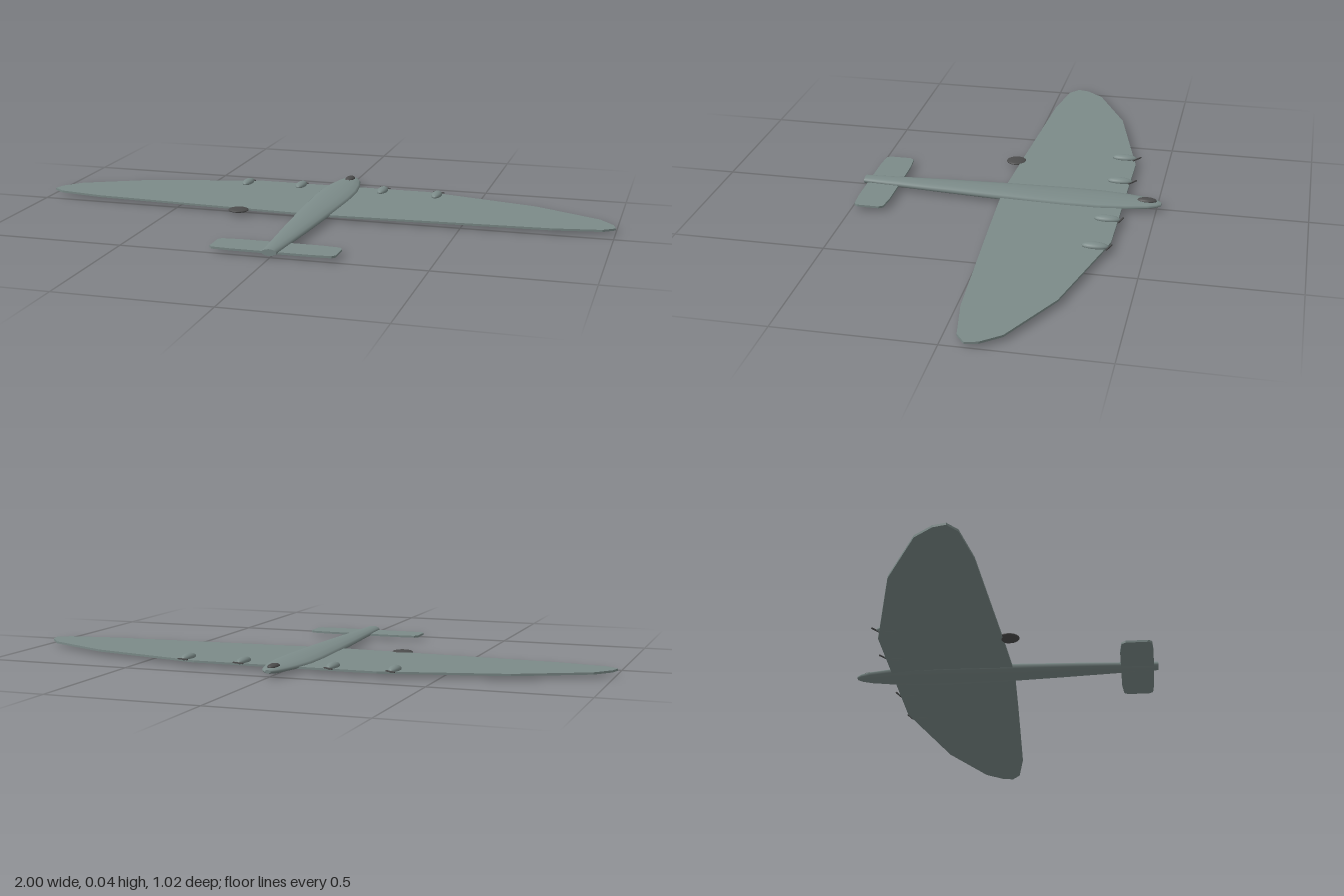
import * as THREE from 'three';

const paint = (name, color) => {
  const m = new THREE.MeshStandardMaterial({ color });
  m.name = name;
  return m;
};

export function createModel() {
  const grey = paint('greyGreen', 0x7b8a88);
  const dark = paint('darkGrey', 0x4c4c4c);
  const group = new THREE.Group();

  const add = (name, geometry, material, x = 0, y = 0, z = 0) => {
    const mesh = new THREE.Mesh(geometry, material);
    mesh.name = name;
    mesh.position.set(x, y, z);
    group.add(mesh);
    return mesh;
  };

  // Flat plate from the outline of its left half, mirrored across x = 0
  const plate = (half, thickness) => {
    const mirrored = half.filter(p => p[0] > 0).reverse().map(([x, z]) => [-x, z]);
    const shape = new THREE.Shape([...half, ...mirrored].map(([x, z]) => new THREE.Vector2(x, z)));
    return new THREE.ExtrudeGeometry(shape, { depth: thickness, bevelEnabled: false }).rotateX(Math.PI / 2);
  };

  const ellipsoid = (rx, ry, rz) => new THREE.SphereGeometry(1, 20, 12).scale(rx, ry, rz);

  // Fuselage: flattened oval sections [z, half width, bottom, top]
  const sections = [
    [-0.515, 0.010, 0.013, 0.024], [-0.50, 0.024, 0.010, 0.028],
    [-0.47, 0.038, 0.008, 0.030], [-0.40, 0.055, 0.006, 0.031],
    [-0.31, 0.067, 0.003, 0.032], [-0.20, 0.068, 0.001, 0.033],
    [0.00, 0.059, 0.000, 0.034], [0.20, 0.047, 0.003, 0.033],
    [0.38, 0.034, 0.006, 0.031], [0.51, 0.025, 0.008, 0.030],
  ];
  const N = 12, pos = [], idx = [];
  for (const [z, w, lo, hi] of sections) {
    for (let i = 0; i < N; i++) {
      const a = (i / N) * Math.PI * 2;
      pos.push(w * Math.cos(a), (lo + hi) / 2 + (hi - lo) / 2 * Math.sin(a), z);
    }
  }
  for (let s = 0; s < sections.length - 1; s++) {
    for (let i = 0; i < N; i++) {
      const a = s * N + i, b = s * N + (i + 1) % N;
      idx.push(a, b, b + N, a, b + N, a + N);
    }
  }
  const hull = new THREE.BufferGeometry();
  hull.setAttribute('position', new THREE.Float32BufferAttribute(pos, 3));
  hull.setIndex(idx);
  hull.computeVertexNormals();
  add('fuselage', hull, grey);

  // End caps of the fuselage
  for (const [z, w, lo, hi] of [sections[0], sections[sections.length - 1]]) {
    const cap = new THREE.CircleGeometry(1, N).scale(w, (hi - lo) / 2, 1);
    if (z < 0) cap.rotateY(Math.PI);
    add(z < 0 ? 'noseCap' : 'tailCap', cap, grey, 0, (lo + hi) / 2, z);
  }

  // Main wing
  add('wing', plate([
    [0, -0.39], [0.31, -0.39], [0.71, -0.29], [0.94, -0.175], [0.99, -0.115],
    [1.0, -0.075], [0.96, -0.045], [0.80, -0.018], [0.30, 0.01], [0, 0.025],
  ], 0.007), grey, 0, 0.018, 0);

  // Tailplane
  add('tailplane', plate([
    [0, 0.385], [0.13, 0.385], [0.195, 0.391], [0.205, 0.405],
    [0.205, 0.478], [0.195, 0.491], [0.13, 0.495], [0, 0.495],
  ], 0.007), grey, 0, 0.018, 0);

  // Cockpit canopy
  add('canopy', ellipsoid(0.017, 0.009, 0.033), dark, 0, 0.029, -0.467);

  // Four engines with small propellers
  for (const [x, z] of [[-0.355, -0.345], [-0.155, -0.355], [0.15, -0.355], [0.35, -0.345]]) {
    add('engine', ellipsoid(0.018, 0.012, 0.043), grey, x, 0.021, z);
    const blade = add('propeller', new THREE.BoxGeometry(0.042, 0.004, 0.004), dark, x, 0.02, z - 0.044);
    blade.rotation.y = x < 0 ? -0.6 : -0.3;
  }

  // Round disc at the wing's trailing edge
  add('disc', ellipsoid(0.035, 0.007, 0.035), dark, -0.264, 0.016, 0.03);

  return group;
}
